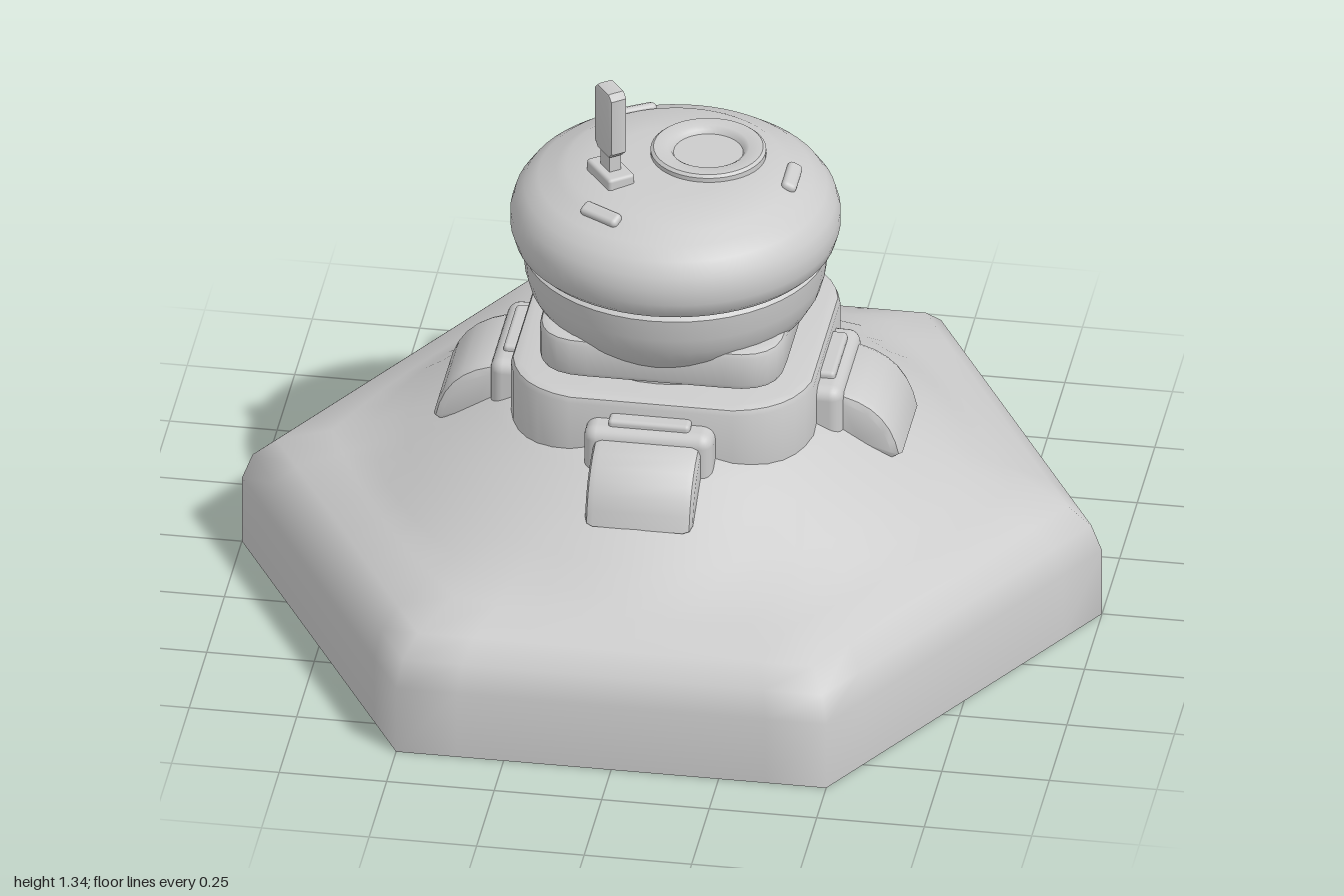
import * as THREE from 'three';
import { toCreasedNormals } from 'three/addons/utils/BufferGeometryUtils.js';
import { RoundedBoxGeometry } from 'three/addons/geometries/RoundedBoxGeometry.js';

const material = new THREE.MeshStandardMaterial({ color: 0xcccccc });

function add(parent, name, geometry, x = 0, y = 0, z = 0) {
  const mesh = new THREE.Mesh(geometry, material);
  mesh.name = name;
  mesh.position.set(x, y, z);
  parent.add(mesh);
  return mesh;
}

function lathe(points, segments = 48) {
  const profile = points.map(([r, y]) => new THREE.Vector2(r, y));
  return toCreasedNormals(new THREE.LatheGeometry(profile, segments), 0.7);
}

// Extrusion along z, centred, whose bevel stays inside the given depth
function extrude(shape, depth, bevel) {
  const geometry = new THREE.ExtrudeGeometry(shape, {
    depth: depth - 2 * bevel, bevelThickness: bevel, bevelSize: bevel,
    bevelOffset: -bevel, bevelSegments: 2, curveSegments: 6,
  });
  geometry.translate(0, 0, bevel - depth / 2);
  return toCreasedNormals(geometry, 0.7);
}

// Square outline with bulging cut corners
function cutSquare(half, flat, bulge) {
  const shape = new THREE.Shape();
  shape.moveTo(half, -flat);
  shape.lineTo(half, flat);
  shape.quadraticCurveTo(bulge, bulge, flat, half);
  shape.lineTo(-flat, half);
  shape.quadraticCurveTo(-bulge, bulge, -half, flat);
  shape.lineTo(-half, -flat);
  shape.quadraticCurveTo(-bulge, -bulge, -flat, -half);
  shape.lineTo(flat, -half);
  shape.quadraticCurveTo(bulge, -bulge, half, -flat);
  return shape;
}

// Rectangle outline with cut corners
function octagon(w, h, cut) {
  return [[w, -h + cut], [w, h - cut], [w - cut, h], [cut - w, h],
    [-w, h - cut], [-w, cut - h], [cut - w, -h], [w - cut, -h]]
    .map(([x, y]) => new THREE.Vector2(x, y));
}

// Mound whose rings change from a hexagon to a circle: [radius, height, roundness]
function moundGeometry() {
  const rings = [[0, 0, 0], [1, 0, 0], [1, 0.17, 0], [0.975, 0.235, 0], [0.92, 0.28, 0],
    [0.79, 0.318, 0.3], [0.7, 0.347, 0.65], [0.61, 0.393, 1], [0.5, 0.455, 1],
    [0.42, 0.505, 1], [0.34, 0.545, 1], [0, 0.58, 1]];
  const n = 48, positions = [], index = [];
  rings.forEach(([radius, y, round], i) => {
    for (let j = 0; j < n; j++) {
      const a = (j / n) * Math.PI * 2;
      const local = (a % (Math.PI / 3)) - Math.PI / 6;
      const hex = Math.cos(Math.PI / 6) / Math.cos(local);
      const r = radius * THREE.MathUtils.lerp(hex, 1, round);
      positions.push(r * Math.cos(a), y, r * Math.sin(a));
      if (i === rings.length - 1) continue;
      const p = i * n + j, q = i * n + ((j + 1) % n);
      if (i > 0) index.push(p, p + n, q);
      if (i < rings.length - 2) index.push(q, p + n, q + n);
    }
  });
  const geometry = new THREE.BufferGeometry();
  geometry.setAttribute('position', new THREE.Float32BufferAttribute(positions, 3));
  geometry.setIndex(index);
  return toCreasedNormals(geometry, 1.2);
}

export function createModel() {
  const model = new THREE.Group();
  add(model, 'hexagonalMound', moundGeometry());

  const tower = new THREE.Group();
  tower.name = 'tower';
  tower.position.set(0.005, 0, -0.02);
  model.add(tower);

  // Pedestal and neck
  const pedestal = add(tower, 'pedestal', extrude(cutSquare(0.352, 0.19, 0.325), 0.3, 0.018), 0, 0.515, 0);
  pedestal.rotation.x = -Math.PI / 2;
  add(tower, 'neckRing', new THREE.CylinderGeometry(0.265, 0.265, 0.06, 40), 0, 0.67, 0);
  const collar = add(tower, 'neckCollar', extrude(cutSquare(0.285, 0.16, 0.29), 0.1, 0.015), 0, 0.725, 0);
  collar.rotation.x = -Math.PI / 2;

  // Four curved feet around the pedestal
  const footShape = new THREE.Shape();
  footShape.moveTo(0.3, 0.42);
  footShape.lineTo(0.3, 0.595);
  footShape.lineTo(0.41, 0.59);
  footShape.bezierCurveTo(0.49, 0.57, 0.53, 0.52, 0.545, 0.44);
  footShape.lineTo(0.52, 0.425);
  footShape.lineTo(0.45, 0.45);
  footShape.lineTo(0.4, 0.42);
  const footGeometry = extrude(footShape, 0.25, 0.02);
  const bracketGeometry = new RoundedBoxGeometry(0.12, 0.17, 0.3, 3, 0.03);
  const plateGeometry = new RoundedBoxGeometry(0.06, 0.05, 0.19, 2, 0.01);
  for (let i = 0; i < 4; i++) {
    const foot = new THREE.Group();
    foot.name = 'foot';
    foot.rotation.y = (i * Math.PI) / 2;
    tower.add(foot);
    add(foot, 'footShell', footGeometry);
    add(foot, 'footBracket', bracketGeometry, 0.35, 0.53, 0);
    add(foot, 'footPlate', plateGeometry, 0.356, 0.605, 0);
  }

  // Head: lower bowl, groove and domed cap
  add(tower, 'headBowl', lathe([[0, 0.69], [0.25, 0.695], [0.275, 0.71], [0.315, 0.755],
    [0.335, 0.79], [0.346, 0.83], [0.352, 0.885], [0.34, 0.895], [0.34, 0.91]]));
  add(tower, 'headCap', lathe([[0.33, 0.9], [0.355, 0.9], [0.37, 0.915], [0.379, 0.945],
    [0.379, 0.98], [0.37, 1.012], [0.348, 1.043], [0.315, 1.067], [0.275, 1.082],
    [0.25, 1.097], [0.15, 1.104], [0, 1.105]], 64));

  // Roof hatch
  add(tower, 'hatchRing', lathe([[0.133, 1.08], [0.133, 1.115], [0.126, 1.121],
    [0.094, 1.121], [0.085, 1.115], [0.08, 1.106], [0, 1.106]], 40), 0.068, 0, -0.05);

  // Three raised vents around the roof
  const ventGeometry = new RoundedBoxGeometry(0.036, 0.024, 0.105, 3, 0.011);
  for (let i = 0; i < 3; i++) {
    const pivot = new THREE.Group();
    pivot.name = 'roofVent';
    pivot.rotation.y = (i * Math.PI * 2) / 3;
    tower.add(pivot);
    add(pivot, 'ventCover', ventGeometry, 0.27, 1.087, 0).rotation.z = -0.45;
  }

  // Flat antenna on a small foot
  const antenna = new THREE.Group();
  antenna.name = 'antenna';
  antenna.position.set(-0.137, 0, 0.085);
  antenna.rotation.y = -0.93;
  tower.add(antenna);
  add(antenna, 'antennaBase', new RoundedBoxGeometry(0.115, 0.05, 0.068, 2, 0.008), 0, 1.103, 0);
  add(antenna, 'antennaStem', new THREE.BoxGeometry(0.045, 0.07, 0.03), 0, 1.15, 0);
  const blade = new THREE.Shape(octagon(0.042, 0.085, 0.014));
  add(antenna, 'antennaBlade', extrude(blade, 0.042, 0.006), 0, 1.255, 0);

  // Hollow nozzle at the back
  const sleeve = new THREE.Shape(octagon(0.095, 0.064, 0.03));
  add(tower, 'nozzleSleeve', extrude(sleeve, 0.18, 0.01), 0, 0.845, -0.36);
  const muzzle = new THREE.Shape(octagon(0.112, 0.077, 0.035));
  muzzle.holes.push(new THREE.Path(octagon(0.082, 0.052, 0.025).reverse()));
  add(tower, 'nozzleMuzzle', extrude(muzzle, 0.115, 0.008), 0, 0.843, -0.463);

  return model;
}
